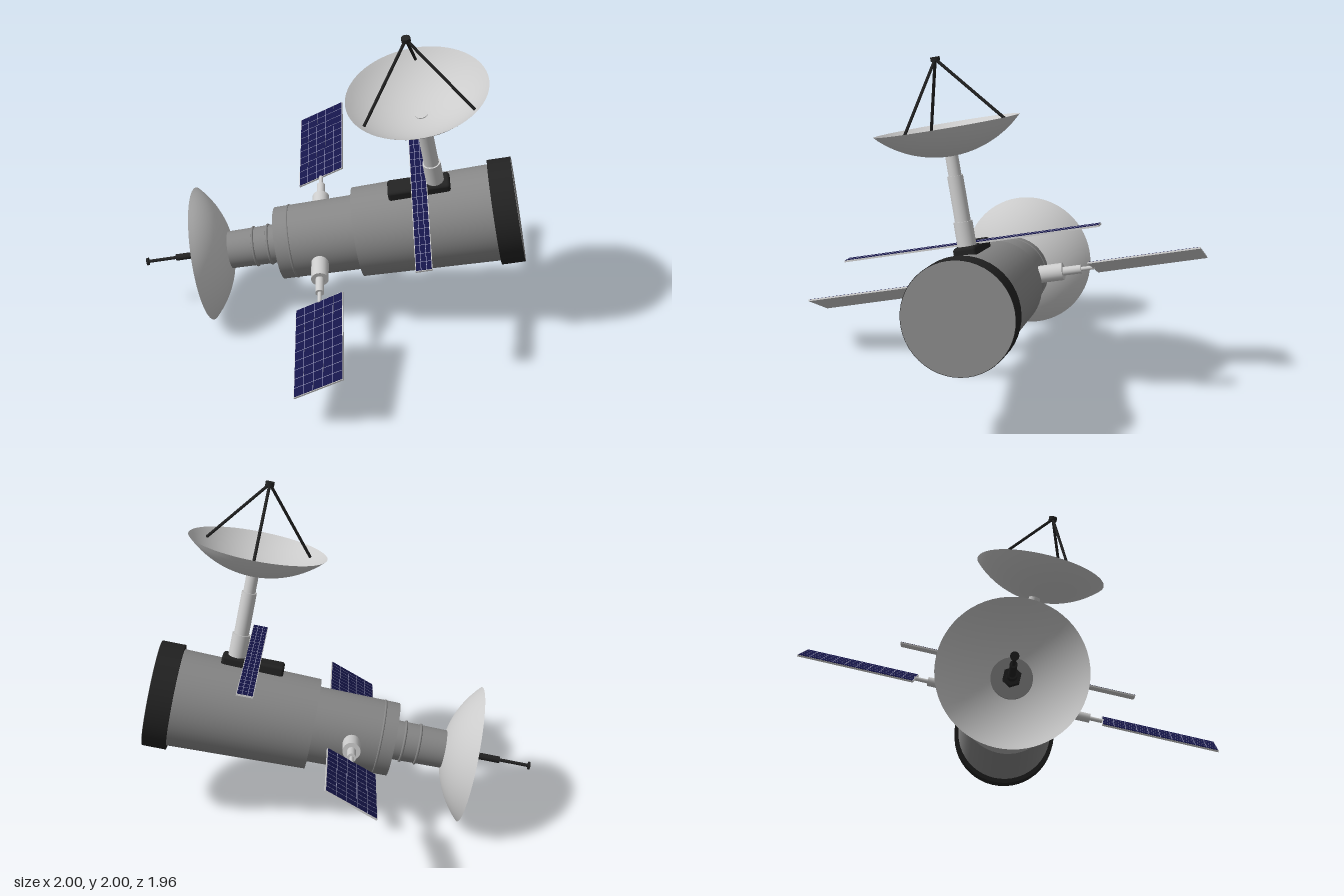
import * as THREE from 'three';
import { RoundedBoxGeometry } from 'three/addons/geometries/RoundedBoxGeometry.js';

const mat = (color, side = THREE.FrontSide) => new THREE.MeshStandardMaterial({ color, side });

export function createModel() {
  const light = mat(0xcccccc), hullGrey = mat(0x888888), black = mat(0x222222);
  const bowlGrey = mat(0xcccccc, THREE.DoubleSide);
  const cellBlue = mat(0x15154a), lineGrey = mat(0x9a9ab8);

  function add(parent, name, geometry, material, x = 0, y = 0, z = 0) {
    const mesh = new THREE.Mesh(geometry, material);
    mesh.name = name;
    mesh.position.set(x, y, z);
    parent.add(mesh);
    return mesh;
  }
  function group(parent, name) {
    const g = new THREE.Group();
    g.name = name;
    parent.add(g);
    return g;
  }
  // Cylinder along the parent's y axis, from height y0 to y1
  function tube(parent, name, r0, r1, y0, y1, material, sides = 48) {
    return add(parent, name, new THREE.CylinderGeometry(r1, r0, y1 - y0, sides), material, 0, (y0 + y1) / 2, 0);
  }
  function ring(parent, name, radius, thick, y, material) {
    add(parent, name, new THREE.TorusGeometry(radius, thick, 8, 48), material, 0, y, 0).rotation.x = Math.PI / 2;
  }
  // Round strut between two points
  function strut(parent, name, a, b, r, material) {
    const d = b.clone().sub(a);
    const m = add(parent, name, new THREE.CylinderGeometry(r, r, d.length(), 8), material);
    m.position.copy(a).addScaledVector(d, 0.5);
    m.quaternion.setFromUnitVectors(new THREE.Vector3(0, 1, 0), d.normalize());
  }
  // Spherical-cap bowl opening towards +y with its rim at rimY
  function dish(parent, name, rimY) {
    const radius = 0.407, depth = 0.17;
    const R = (radius * radius + depth * depth) / (2 * depth);
    const sweep = Math.asin(radius / R);
    const points = [];
    for (let i = 0; i <= 14; i++) {
      const t = (sweep * i) / 14;
      points.push(new THREE.Vector2(R * Math.sin(t), R - depth - R * Math.cos(t)));
    }
    add(parent, name, new THREE.LatheGeometry(points, 64), bowlGrey, 0, rimY, 0);
  }
  // Solar panel: backing plate, dark cell sheet on top, pale grid lines
  function panel(parent, name, length, width, nx, nz) {
    const g = group(parent, name), gap = 0.008;
    add(g, 'backing', new THREE.BoxGeometry(length, 0.01, width), light);
    add(g, 'cells', new THREE.BoxGeometry(length - gap, 0.003, width - gap), cellBlue, 0, 0.0055, 0);
    for (let i = 1; i < nx; i++)
      add(g, 'gridLine', new THREE.BoxGeometry(0.003, 0.001, width - gap), lineGrey, length * (i / nx - 0.5), 0.0073, 0);
    for (let i = 1; i < nz; i++)
      add(g, 'gridLine', new THREE.BoxGeometry(length - gap, 0.001, 0.003), lineGrey, 0, 0.0073, width * (i / nz - 0.5));
    return g;
  }

  const model = new THREE.Group();
  model.name = 'satellite';

  // Whole craft is built upright facing +z, then turned to its flying attitude
  const craft = group(model, 'craft');
  const forward = new THREE.Vector3(-0.781, -0.189, 0.595).normalize();
  const up = new THREE.Vector3().crossVectors(forward, new THREE.Vector3(0.6246, -0.2085, 0.7524)).normalize();
  const side = new THREE.Vector3().crossVectors(up, forward);
  craft.quaternion.setFromRotationMatrix(new THREE.Matrix4().makeBasis(side, up, forward));
  craft.position.set(-0.132, 0.532, -0.002);

  // Hull, along the long axis
  const hull = group(craft, 'hull');
  hull.rotation.x = Math.PI / 2;
  tube(hull, 'rearBand', 0.315, 0.315, -1.2, -1.06, black);
  tube(hull, 'rearCap', 0.312, 0.312, -1.202, -1.19, hullGrey);
  tube(hull, 'mainBody', 0.29, 0.27, -1.07, -0.235, hullGrey);
  tube(hull, 'midBody', 0.226, 0.219, -0.25, 0.25, hullGrey);
  ring(hull, 'midRing', 0.217, 0.008, 0.165, hullGrey);
  tube(hull, 'neck', 0.118, 0.113, 0.24, 0.57, hullGrey);
  ring(hull, 'neckRing', 0.118, 0.008, 0.31, hullGrey);
  ring(hull, 'neckRing', 0.116, 0.008, 0.4, hullGrey);

  // Front dish with its feed probe
  dish(hull, 'frontDish', 0.715);
  tube(hull, 'feedBase', 0.052, 0.052, 0.54, 0.62, black, 6);
  tube(hull, 'feedCollar', 0.03, 0.03, 0.62, 0.68, black, 16);
  tube(hull, 'feedRod', 0.02, 0.02, 0.68, 0.9, black, 16);
  tube(hull, 'feedTip', 0.01, 0.01, 0.9, 1.08, black, 12);
  tube(hull, 'feedDisc', 0.023, 0.023, 1.074, 1.086, black, 16);

  // Telescopic side arms and tilted solar panels
  for (const s of [-1, 1]) {
    const arm = group(craft, s > 0 ? 'leftArm' : 'rightArm');
    arm.rotation.z = -s * Math.PI / 2;
    tube(arm, 'armSocket', 0.052, 0.052, 0.15, 0.36, light, 24);
    tube(arm, 'armTube', 0.026, 0.026, 0.36, 0.47, light, 20);
    tube(arm, 'armPin', 0.012, 0.012, 0.47, 0.55, light, 12);
    const p = panel(craft, s > 0 ? 'leftPanel' : 'rightPanel', 0.66, 0.315, 10, 5);
    p.position.x = s * 0.87;
    p.rotation.x = 0.335;
  }

  // Mounting block and long narrow panel on the back
  add(craft, 'mountBlock', new RoundedBoxGeometry(0.13, 0.075, 0.37, 3, 0.018), black, 0, 0.287, -0.65);
  panel(craft, 'topPanel', 1.468, 0.095, 22, 3).position.set(0, 0.324, -0.655);

  // Mast and upper dish
  const mast = group(craft, 'mast');
  mast.position.z = -0.75;
  tube(mast, 'mastBase', 0.053, 0.053, 0.3, 0.46, light, 32);
  tube(mast, 'mastTube', 0.044, 0.044, 0.46, 0.715, light, 32);
  tube(mast, 'mastTop', 0.036, 0.036, 0.715, 0.83, light, 32);
  dish(mast, 'upperDish', 0.994);

  // Tripod over the upper dish
  const peak = new THREE.Vector3(0, 1.36, 0);
  for (let i = 0; i < 3; i++) {
    const a = Math.PI + (i * 2 * Math.PI) / 3;
    const foot = new THREE.Vector3(0.356 * Math.cos(a), 0.95, 0.356 * Math.sin(a));
    strut(mast, 'tripodLeg', foot, peak, 0.009, black);
  }
  tube(mast, 'tripodCap', 0.026, 0.026, 1.348, 1.372, black, 20);

  return model;
}
